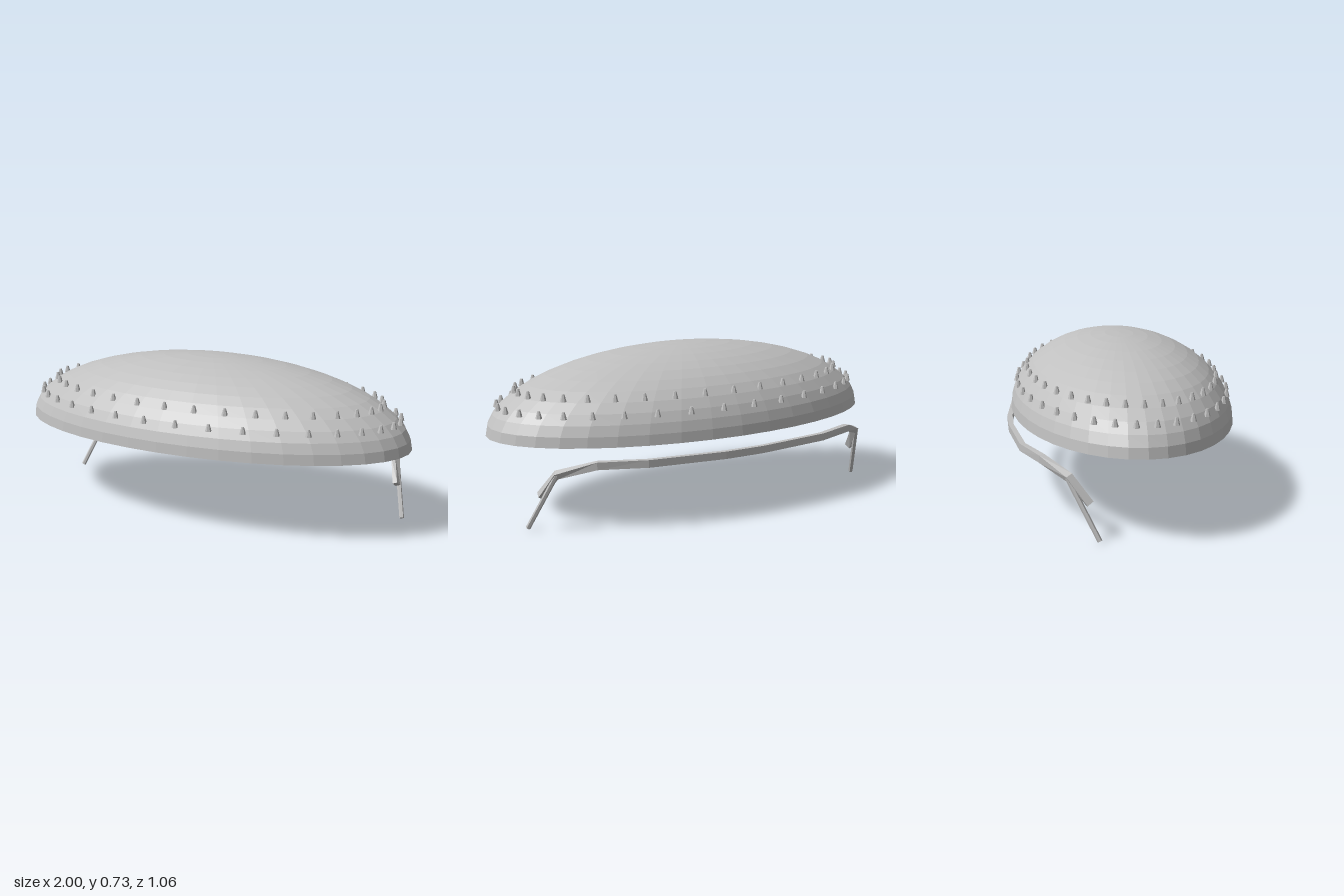
import * as THREE from 'three';

const V = (x, y, z) => new THREE.Vector3(x, y, z);

// Square-section bar swept along points of [x, y, z, width, depth]
function sweepBar(rows) {
  const pts = rows.map(r => V(r[0], r[1], r[2]));
  const pos = [], idx = [];
  pts.forEach((p, i) => {
    const a = pts[Math.max(i - 1, 0)], b = pts[Math.min(i + 1, pts.length - 1)];
    const t = b.clone().sub(a).normalize();
    const side = t.clone().cross(V(0, 0, -1)).normalize();
    const out = side.clone().cross(t).normalize();
    for (const [s, o] of [[1, 1], [-1, 1], [-1, -1], [1, -1]]) {
      const q = p.clone().addScaledVector(side, s * rows[i][3] / 2).addScaledVector(out, o * rows[i][4] / 2);
      pos.push(q.x, q.y, q.z);
    }
  });
  const quad = (a, b, c, d) => idx.push(a, b, c, a, c, d);
  for (let i = 0; i < pts.length - 1; i++) {
    for (let j = 0; j < 4; j++) {
      const k = (j + 1) % 4, n = i * 4;
      quad(n + j, n + 4 + j, n + 4 + k, n + k);
    }
  }
  const e = (pts.length - 1) * 4;
  quad(0, 1, 2, 3);
  quad(e + 3, e + 2, e + 1, e);
  const g = new THREE.BufferGeometry();
  g.setAttribute('position', new THREE.Float32BufferAttribute(pos, 3));
  g.setIndex(idx);
  g.computeVertexNormals();
  return g;
}

export function createModel() {
  const root = new THREE.Group();
  const grey = new THREE.MeshStandardMaterial({ color: 0xc0c0c0, flatShading: true, side: THREE.DoubleSide });
  const add = (geo, name, parent = root) => {
    const m = new THREE.Mesh(geo, grey);
    m.name = name;
    parent.add(m);
    return m;
  };

  // Open half-ellipsoid shell
  const cz = 0.01, baseY = 0.375;
  const dome = new THREE.SphereGeometry(1, 40, 12, 0, Math.PI * 2, 0, Math.PI / 2);
  dome.scale(1, 0.36, 0.52);
  add(dome, 'shell').position.set(0, baseY, cz);

  // Two staggered rings of small blunt studs
  const stud = new THREE.CylinderGeometry(0.006, 0.015, 0.033, 6);
  const rings = [
    { name: 'lowerStuds', rx: 0.945, rz: 0.49, y: 0.51, offset: 0.5 },
    { name: 'upperStuds', rx: 0.86, rz: 0.442, y: 0.575, offset: 0 },
  ];
  for (const r of rings) {
    const group = new THREE.Group();
    group.name = r.name;
    root.add(group);
    for (let i = 0; i < 36; i++) {
      const a = (i + r.offset) * Math.PI / 18;
      add(stud, 'stud', group).position.set(r.rx * Math.sin(a), r.y, cz + r.rz * Math.cos(a));
    }
  }

  // Bent rear bar, mirrored from one half
  const half = [
    [0.868, 0.155, -0.215, 0.024, 0.032],
    [0.828, 0.262, -0.300, 0.028, 0.032],
    [0.685, 0.308, -0.405, 0.034, 0.028],
    [0.475, 0.305, -0.478, 0.034, 0.026],
    [0.10, 0.301, -0.516, 0.034, 0.024],
  ];
  const other = half.map(([x, ...rest]) => [-x, ...rest]).reverse();
  add(sweepBar([...half, ...other]), 'rearBar');

  // Thin legs running down from the bar's bends
  for (const s of [-1, 1]) {
    const top = V(s * 0.832, 0.262, -0.308), foot = V(s * 0.914, 0.006, -0.18);
    const dir = top.clone().sub(foot);
    const leg = add(new THREE.CylinderGeometry(0.011, 0.011, dir.length(), 6), s > 0 ? 'leftLeg' : 'rightLeg');
    leg.position.copy(top).add(foot).multiplyScalar(0.5);
    leg.quaternion.setFromUnitVectors(V(0, 1, 0), dir.normalize());
  }
  return root;
}
